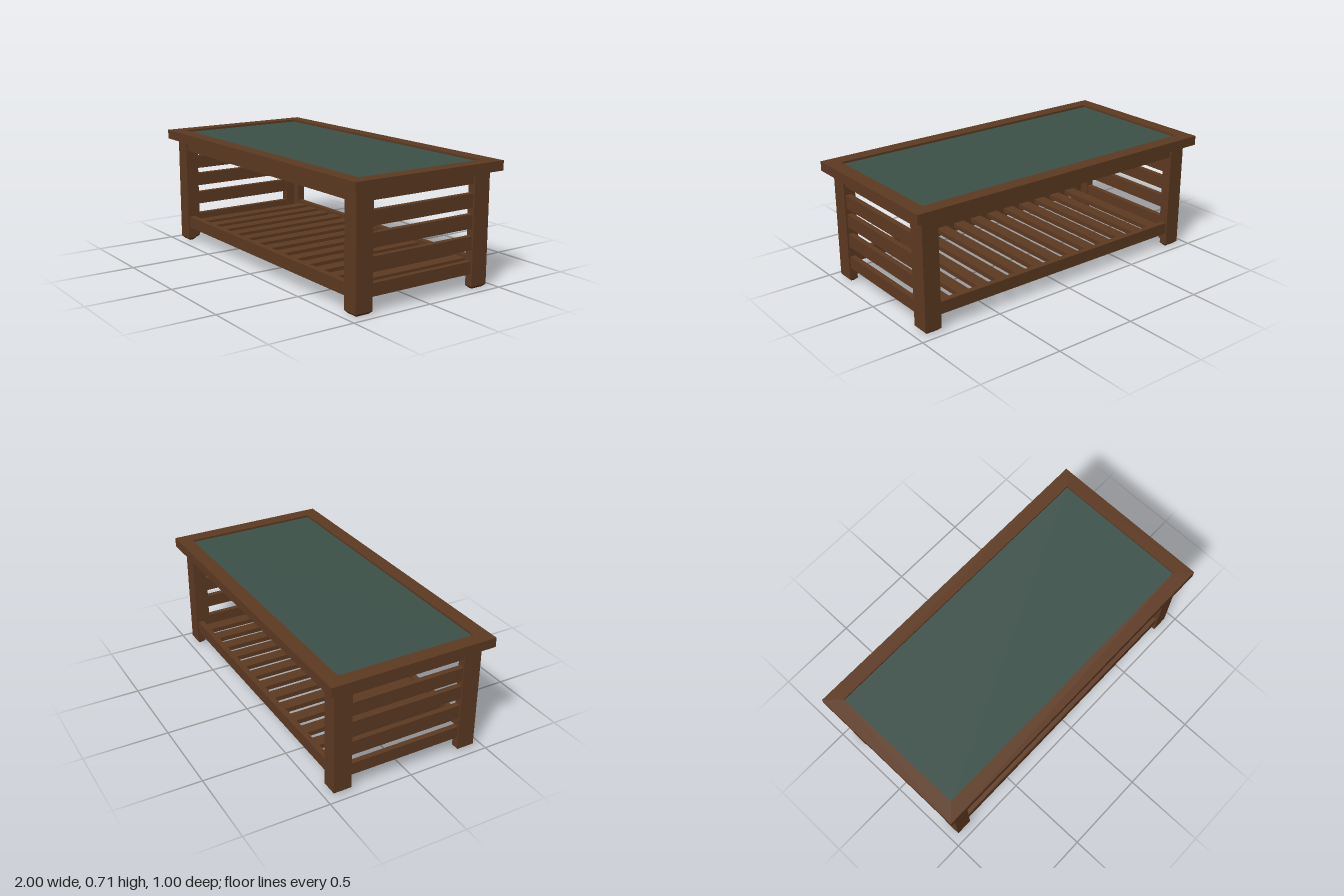
import * as THREE from 'three';

export function createModel() {
  const table = new THREE.Group();
  table.name = 'coffeeTable';

  const wood = new THREE.MeshStandardMaterial({ color: 0x5e3a22 });
  wood.name = 'brown wood';
  const glass = new THREE.MeshStandardMaterial({ color: 0x3c5149 });
  glass.name = 'green tinted glass';

  const add = (name, geometry, material) => {
    const mesh = new THREE.Mesh(geometry, material);
    mesh.name = name;
    table.add(mesh);
    return mesh;
  };
  // Box given by its lower and upper corners
  const box = (name, [x0, y0, z0], [x1, y1, z1], material = wood) =>
    add(name, new THREE.BoxGeometry(x1 - x0, y1 - y0, z1 - z0), material)
      .position.set((x0 + x1) / 2, (y0 + y1) / 2, (z0 + z1) / 2);
  const polygon = (points) => new THREE.Shape(points.map(([x, y]) => new THREE.Vector2(x, y)));
  const rectangle = (x, y) => polygon([[-x, -y], [x, -y], [x, y], [-x, y]]);

  // Tabletop frame with the recessed pane
  const frame = rectangle(1, 0.498);
  frame.holes.push(rectangle(0.915, 0.413));
  const frameGeometry = new THREE.ExtrudeGeometry(frame, { depth: 0.056, bevelEnabled: false });
  frameGeometry.rotateX(-Math.PI / 2);
  add('topFrame', frameGeometry, wood).position.y = 0.657;
  box('glassPane', [-0.915, 0.68, -0.413], [0.915, 0.7, 0.413], glass);

  // Corner legs: two boards in an L, chamfered at the foot
  const outX = 0.948, inX = 0.848, outZ = 0.45, inZ = 0.343, board = 0.05, chamfer = 0.015;
  for (const sx of [-1, 1]) {
    for (const sz of [-1, 1]) {
      const section = polygon([
        [outX, outZ], [inX, outZ], [inX, outZ - board],
        [outX - board, outZ - board], [outX - board, inZ], [outX, inZ],
      ].map(([x, z]) => [x * sx, -z * sz]));
      const leg = new THREE.ExtrudeGeometry(section, {
        depth: 0.643, bevelEnabled: true, bevelSegments: 1,
        bevelThickness: chamfer, bevelSize: chamfer, bevelOffset: -chamfer,
      });
      leg.rotateX(-Math.PI / 2);
      add('leg', leg, wood).position.y = chamfer;
    }
  }

  // Long aprons and lower rails, slightly behind the leg faces
  const railOut = 0.44, railIn = 0.405;
  for (const [name, y0, y1] of [['longApron', 0.592, 0.66], ['longLowerRail', 0.088, 0.16]]) {
    box(name, [-0.9, y0, railIn], [0.9, y1, railOut]);
    box(name, [-0.9, y0, -railOut], [0.9, y1, -railIn]);
  }

  // End aprons, slats and lower rails
  const endPieces = [
    ['endApron', 0.592, 0.66], ['endSlat', 0.46, 0.54], ['endSlat', 0.345, 0.424],
    ['endSlat', 0.223, 0.301], ['endLowerRail', 0.088, 0.16],
  ];
  for (const [name, y0, y1] of endPieces) {
    box(name, [0.905, y0, -0.4], [0.938, y1, 0.4]);
    box(name, [-0.938, y0, -0.4], [-0.905, y1, 0.4]);
  }

  // Slatted lower shelf
  const count = 13, pitch = 0.131, half = 0.038;
  for (let i = 0; i < count; i++) {
    const x = (i - (count - 1) / 2) * pitch;
    box('shelfSlat', [x - half, 0.115, -railIn], [x + half, 0.143, railIn]);
  }

  return table;
}
